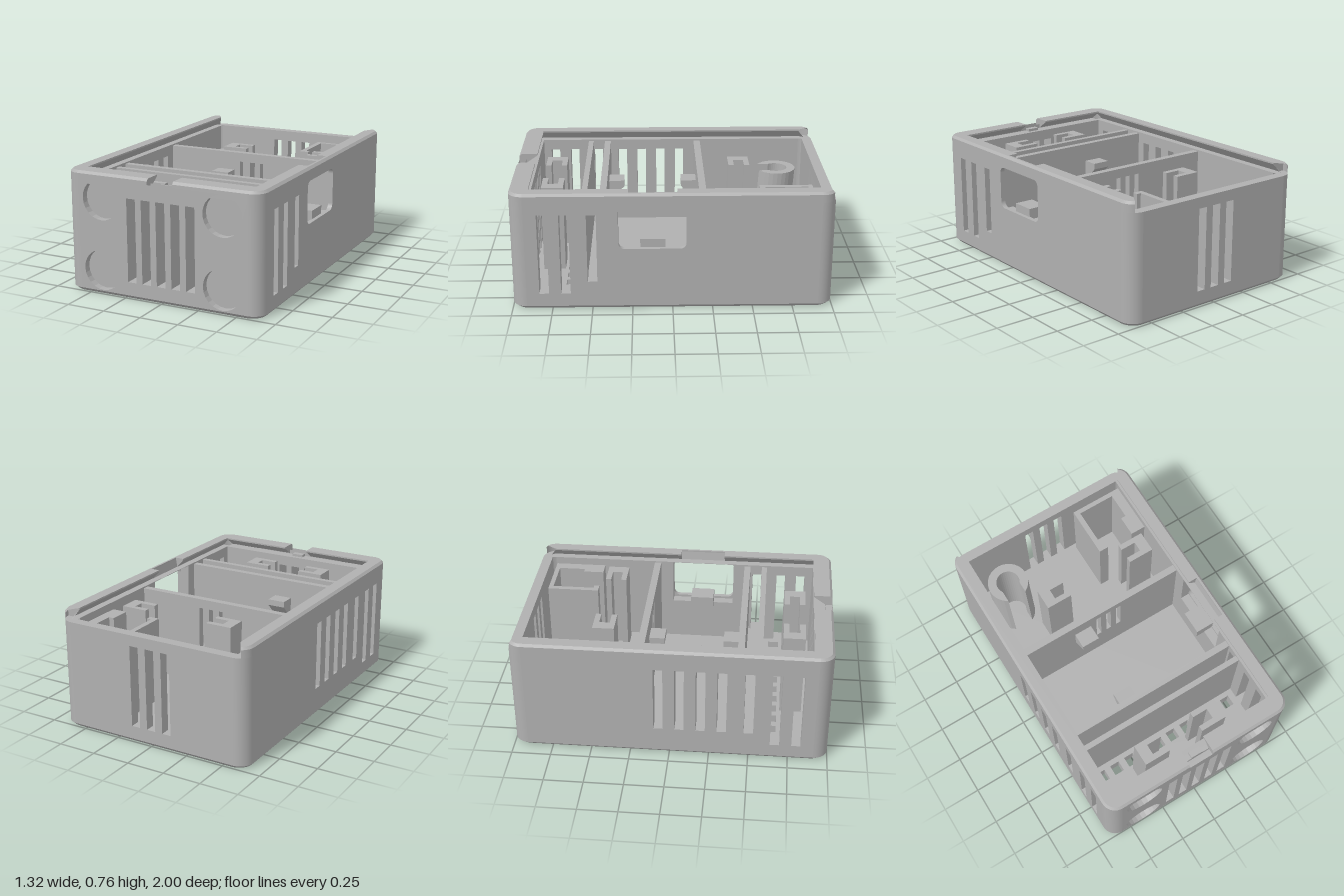
import * as THREE from 'three';
import { toCreasedNormals } from 'three/addons/utils/BufferGeometryUtils.js';

const HALF_W = 0.66, IN_W = 0.57, FLOOR = 0.105, LEDGE = 0.7, TOP = 0.765, R = 0.09;

export function createModel() {
  const model = new THREE.Group();
  const grey = new THREE.MeshStandardMaterial({ color: 0xb0b0b0, side: THREE.DoubleSide });
  grey.name = 'grey plastic';

  const add = (name, geometry) => {
    const mesh = new THREE.Mesh(geometry, grey);
    mesh.name = name;
    model.add(mesh);
    return mesh;
  };
  const box = (name, x0, x1, y0, y1, z0, z1) =>
    add(name, new THREE.BoxGeometry(x1 - x0, y1 - y0, z1 - z0))
      .position.set((x0 + x1) / 2, (y0 + y1) / 2, (z0 + z1) / 2);

  // Outline helpers
  const poly = (pts) => new THREE.Shape(pts.map((p) => new THREE.Vector2(...p)));
  const rect = (x0, x1, y0, y1) => poly([[x0, y0], [x1, y0], [x1, y1], [x0, y1]]);
  const roundRect = (x0, x1, y0, y1, r) => {
    const s = new THREE.Shape();
    s.absarc(x1 - r, y0 + r, r, -Math.PI / 2, 0);
    s.absarc(x1 - r, y1 - r, r, 0, Math.PI / 2);
    s.absarc(x0 + r, y1 - r, r, Math.PI / 2, Math.PI);
    s.absarc(x0 + r, y0 + r, r, Math.PI, Math.PI * 1.5);
    return s;
  };
  const disc = (x, y, r) => new THREE.Shape().absarc(x, y, r, 0, Math.PI * 2);
  const slots = (centres, y0, y1, w = 0.06) => centres.map((c) => rect(c - w / 2, c + w / 2, y0, y1));
  const extrude = (shape, holes, depth) => {
    shape.holes.push(...holes);
    return new THREE.ExtrudeGeometry(shape, { depth, bevelEnabled: false, curveSegments: 12 });
  };

  // Slabs: outline in (x, y), in (z, y) or in (x, z)
  const alongZ = (name, shape, holes, z0, z1) =>
    add(name, extrude(shape, holes, z1 - z0).translate(0, 0, z0));
  const alongX = (name, shape, holes, x0, x1) =>
    add(name, extrude(shape, holes, x1 - x0).rotateY(-Math.PI / 2).translate(x1, 0, 0));
  const alongY = (name, shape, holes, y0, y1) =>
    add(name, extrude(shape, holes, y1 - y0).rotateX(Math.PI / 2).translate(0, y1, 0));

  // Floor with a row of vents and two blind keyholes underneath
  const vents = () => Array.from({ length: 10 }, (_, i) => {
    const x = -0.495 + i * 0.11;
    return rect(x - 0.033, x + 0.033, 0.6, 0.67);
  });
  const keyhole = (x, z) => {
    const r = 0.12, w = 0.035, a = Math.asin(w / r);
    const s = new THREE.Shape();
    s.absarc(x, z, r, -Math.PI / 2 + a, Math.PI * 1.5 - a);
    s.absarc(x, z - 0.21, w, Math.PI, Math.PI * 2);
    return s;
  };
  const keyholes = () => [keyhole(0.2, 0.4), keyhole(0.2, -0.52)];
  const base = alongY('chamferedBase', roundRect(-HALF_W, HALF_W, -1, 1, R), [...vents(), ...keyholes()], 0, 0.02);
  const p = base.geometry.attributes.position;
  for (let i = 0; i < p.count; i++) {
    const x = p.getX(i), z = p.getZ(i);
    if (p.getY(i) < 0.01 && (Math.abs(x) > 0.54 || Math.abs(z) > 0.88)) {
      p.setX(i, x * 0.973);
      p.setZ(i, z * 0.982);
    }
  }
  base.geometry.computeVertexNormals();
  alongY('floor', rect(-IN_W, IN_W, -0.935, 0.88), [...vents(), ...keyholes()], 0.02, 0.085);
  alongY('floorTop', rect(-IN_W, IN_W, -0.935, 0.88), vents(), 0.085, FLOOR);

  // Front wall with vents and four round magnet pockets
  const frontSlots = () => slots([-0.2, -0.1, 0, 0.1, 0.2], FLOOR, 0.63);
  const pockets = [-0.41, 0.41].flatMap((x) => [0.155, 0.6].map((y) => disc(x, y, 0.128)));
  alongZ('frontWallOuter', rect(-IN_W, IN_W, 0.02, LEDGE), [...frontSlots(), ...pockets], 0.955, 1);
  alongZ('frontWallInner', rect(-IN_W, IN_W, 0.02, LEDGE), frontSlots(), 0.88, 0.955);
  box('lidCatch', -0.04, 0.04, LEDGE, 0.717, 0.91, 0.95);

  // Back wall
  alongZ('backWall', rect(-IN_W, IN_W, 0.02, LEDGE), slots([-0.11, 0, 0.11], FLOOR, 0.63), -1, -0.935);

  // Side walls, the +x one with a window and an inner recess around it
  const side = () => rect(-0.91, 0.91, 0.02, LEDGE);
  const longSlots = () => slots([0.665, 0.8], FLOOR, 0.63);
  alongX('rightVentWall', side(),
    [...longSlots(), ...slots([-0.07, 0.062, 0.195, 0.328, 0.498], 0.185, 0.63)], -HALF_W, -IN_W);
  const shortSlot = () => slots([0.498], 0.185, 0.63);
  alongX('windowWallOuter', side(),
    [...longSlots(), ...shortSlot(), roundRect(-0.085, 0.335, 0.405, 0.68, 0.04)], 0.63, HALF_W);
  alongX('windowWallInner', side(),
    [...longSlots(), ...shortSlot(), rect(-0.085, 0.335, 0.39, 0.697)], IN_W, 0.63);
  box('windowTab', 0.51, 0.635, 0.38, 0.46, 0.045, 0.2);

  // Rounded corners
  const lathe = (name, pts, x, z, start, length) =>
    add(name, toCreasedNormals(
      new THREE.LatheGeometry(pts.map((q) => new THREE.Vector2(...q)), 10, start, length), 0.6))
      .position.set(x, 0, z);
  const lower = [[0, 0.02], [R, 0.02]];
  const frontCorner = [...lower, [R, 0.75], [R - 0.015, TOP], [0, TOP]];
  const backCorner = [...lower, [R, LEDGE], [0, LEDGE]];
  lathe('frontLeftCorner', frontCorner, IN_W, 0.91, 0, Math.PI / 2);
  lathe('frontRightCorner', frontCorner, -IN_W, 0.91, Math.PI * 1.5, Math.PI / 2);
  lathe('backLeftCorner', backCorner, IN_W, -0.91, Math.PI / 2, Math.PI / 2);
  lathe('backRightCorner', backCorner, -IN_W, -0.91, Math.PI, Math.PI / 2);

  // Undercut rails that hold a sliding lid, open at the back
  const rail = (outer, dir, t) => poly(
    [[0, LEDGE], [0, 0.75], [0.015, TOP], [t, TOP], [t, 0.755], [0.04, LEDGE]]
      .map(([d, y]) => [outer - dir * d, y]));
  alongZ('rightRail', rail(-HALF_W, -1, R), [], -0.91, 0.91);
  alongZ('leftRailBack', rail(HALF_W, 1, R), [], -0.91, -0.03);
  alongZ('leftRailFront', rail(HALF_W, 1, R), [], 0.27, 0.91);
  alongZ('leftRailThin', rail(HALF_W, 1, 0.03).clone(), [], -0.03, 0.27);
  alongX('frontRailLeft', rail(1, 1, 0.12), [], 0.085, IN_W);
  alongX('frontRailRight', rail(1, 1, 0.12), [], -IN_W, -0.085);
  const railEnd = [[0.05, LEDGE], [R, LEDGE], [R, 0.75], [R - 0.015, TOP], [0, TOP], [0, 0.755], [0.05, LEDGE]];
  lathe('leftRailEnd', railEnd, IN_W, -0.91, Math.PI / 2, 1.0);
  lathe('rightRailEnd', railEnd, -IN_W, -0.91, Math.PI * 1.5 - 1.0, 1.0);

  // Partitions across the tray
  alongZ('backPartition', rect(-IN_W, IN_W, FLOOR, 0.69), slots([-0.03, 0.045, 0.12], 0.35, 0.63, 0.035), -0.215, -0.17);
  box('middlePartition', -IN_W, IN_W, FLOOR, 0.69, 0.41, 0.452);
  box('frontPartition', -IN_W, IN_W, FLOOR, 0.69, 0.53, 0.565);
  box('partitionStep', -IN_W, IN_W, FLOOR, 0.185, 0.452, 0.53);

  // Hooks on the partitions
  for (const [z, d] of [[-0.17, 1], [0.41, -1]]) {
    alongX('partitionHook',
      poly([[z, 0.57], [z + d * 0.1, 0.57], [z + d * 0.1, 0.53], [z, 0.43]]), [], -0.21, -0.09);
  }

  // C-shaped board brackets: closed side x, open side x, middle z
  const bracket = (xc, xo, z) => {
    const xi = xc + Math.sign(xo - xc) * 0.073;
    alongY('boardBracket', poly([[xc, z - 0.07], [xo, z - 0.07], [xo, z - 0.034], [xi, z - 0.034],
      [xi, z + 0.034], [xo, z + 0.034], [xo, z + 0.07], [xc, z + 0.07]]), [], FLOOR, 0.67);
  };
  bracket(-0.295, -0.12, 0.76);
  bracket(0.295, 0.12, 0.76);
  bracket(-0.28, -0.107, -0.458);
  bracket(0.52, 0.345, -0.458);

  // Square socket in the back corner, open at its front
  alongY('squareSocket', poly([[0.22, -0.905], [IN_W, -0.905], [IN_W, -0.565], [0.47, -0.565], [0.47, -0.7],
    [0.505, -0.7], [0.505, -0.875], [0.255, -0.875], [0.255, -0.6], [0.285, -0.6], [0.285, -0.565],
    [0.22, -0.565]]), [], FLOOR, 0.65);

  // Leaning round socket with a cable slot at its front
  const ring = new THREE.Shape();
  const gap = 0.065, aOut = Math.acos(gap / 0.135), aIn = Math.acos(gap / 0.078);
  ring.absarc(0, 0, 0.135, Math.PI - aOut, Math.PI * 2 + aOut, false);
  ring.absarc(0, 0, 0.078, Math.PI * 2 + aIn, Math.PI - aIn, true);
  const socket = alongY('roundSocket', ring, [], FLOOR, 0.55);
  const q = socket.geometry.attributes.position;
  for (let i = 0; i < q.count; i++) q.setZ(i, q.getZ(i) + (0.55 - q.getY(i)) * 0.07);
  socket.geometry.computeVertexNormals();
  socket.position.set(-0.395, 0, -0.735);

  return model;
}
